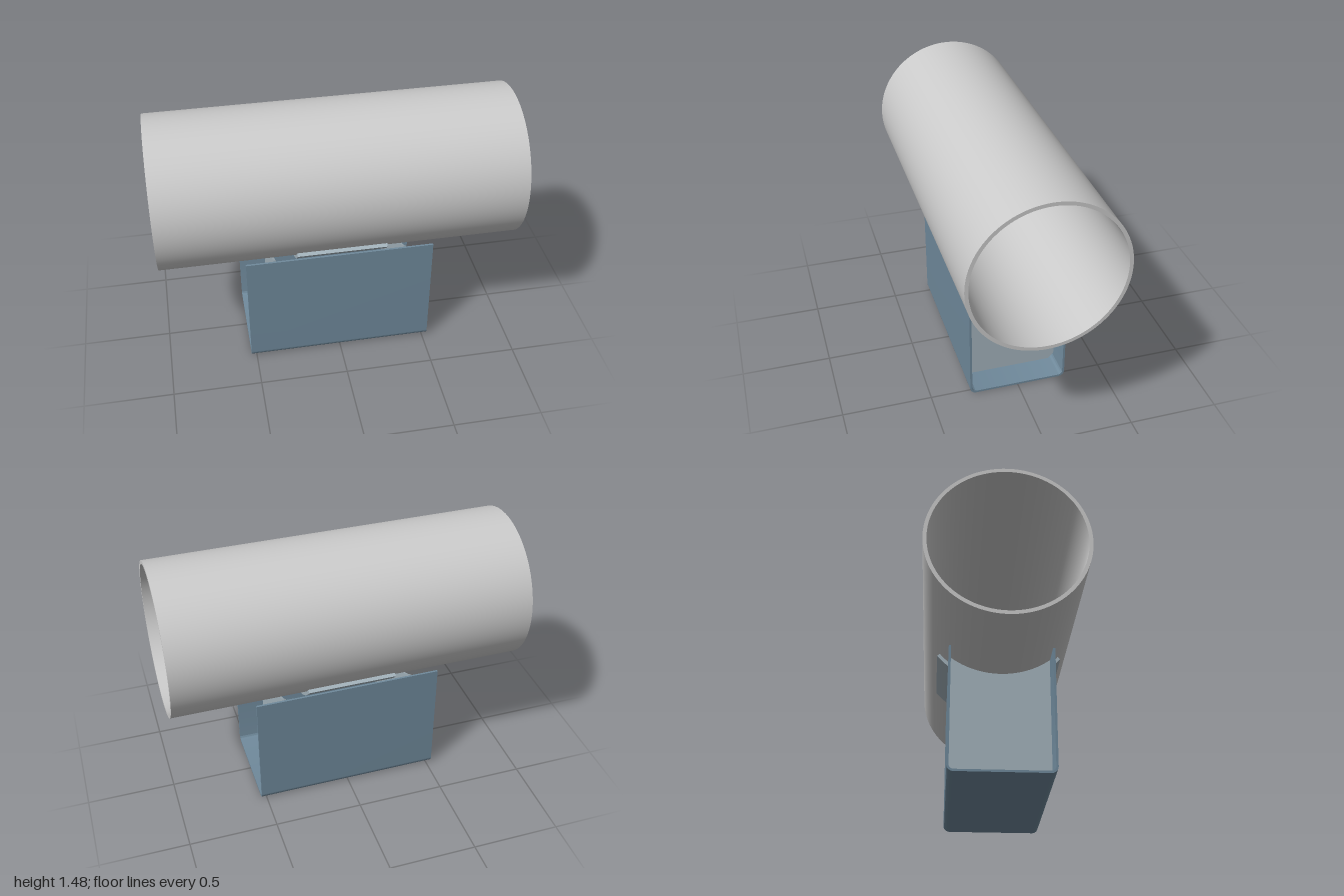
import * as THREE from 'three';
import { toCreasedNormals } from 'three/addons/utils/BufferGeometryUtils.js';

const AXIS_Y = 1.057; // height of the pipe axis
const PIPE_R = 0.426;
const PIPE_INNER_R = 0.406;
const PAD_R = 0.446;

const grey = new THREE.MeshStandardMaterial({ color: 0xcccccc });
const channelBlue = new THREE.MeshStandardMaterial({ color: 0x708a9c });
const plateBlue = new THREE.MeshStandardMaterial({ color: 0xa5b4bd });

// Extrudes a cross-section (drawn in the z-y plane) along x, centred at x
function alongX(name, shape, length, material, x = 0) {
  let geometry = new THREE.ExtrudeGeometry(shape, { depth: length, bevelEnabled: false, curveSegments: 48 });
  geometry.translate(0, 0, -length / 2);
  geometry.rotateY(Math.PI / 2);
  geometry = toCreasedNormals(geometry, 0.5);
  const mesh = new THREE.Mesh(geometry, material);
  mesh.name = name;
  mesh.position.x = x;
  return mesh;
}

export function createModel() {
  const group = new THREE.Group();
  group.name = 'pipeSupport';
  const down = -Math.PI / 2;

  // Hollow pipe
  const ring = new THREE.Shape().absarc(0, AXIS_Y, PIPE_R, 0, Math.PI * 2, false);
  ring.holes.push(new THREE.Path().absarc(0, AXIS_Y, PIPE_INNER_R, 0, Math.PI * 2, true));
  group.add(alongX('pipe', ring, 2, grey));

  // Curved saddle pad hugging the underside of the pipe
  const half = THREE.MathUtils.degToRad(50);
  const pad = new THREE.Shape();
  pad.absarc(0, AXIS_Y, PAD_R, down - half, down + half, false);
  pad.absarc(0, AXIS_Y, PIPE_R, down + half, down - half, true);
  pad.closePath();
  group.add(alongX('saddlePad', pad, 0.5, plateBlue));

  // Bent U channel with rounded lower corners
  const w = 0.28, t = 0.012, top = 0.695, r = 0.036, wi = w - t, ri = r - t;
  const channel = new THREE.Shape();
  channel.moveTo(-w, top);
  channel.lineTo(-w, r);
  channel.absarc(-w + r, r, r, Math.PI, Math.PI * 1.5, false);
  channel.absarc(w - r, r, r, down, 0, false);
  channel.lineTo(w, top);
  channel.lineTo(wi, top);
  channel.absarc(w - r, r, ri, 0, down, true);
  channel.absarc(-w + r, r, ri, Math.PI * 1.5, Math.PI, true);
  channel.lineTo(-wi, top);
  channel.closePath();
  group.add(alongX('channel', channel, 1.06, channelBlue));

  // Two cross ribs with clipped lower corners and a cradle cut on top
  const clip = 0.032;
  const edge = Math.asin(wi / PAD_R);
  const rib = new THREE.Shape();
  rib.moveTo(-wi, t + clip);
  rib.lineTo(-wi + clip, t);
  rib.lineTo(wi - clip, t);
  rib.lineTo(wi, t + clip);
  rib.absarc(0, AXIS_Y, PAD_R, down + edge, down - edge, true);
  rib.closePath();
  for (const side of [-1, 1]) {
    group.add(alongX(side > 0 ? 'leftRib' : 'rightRib', rib, 0.012, plateBlue, side * 0.368));
  }

  return group;
}
